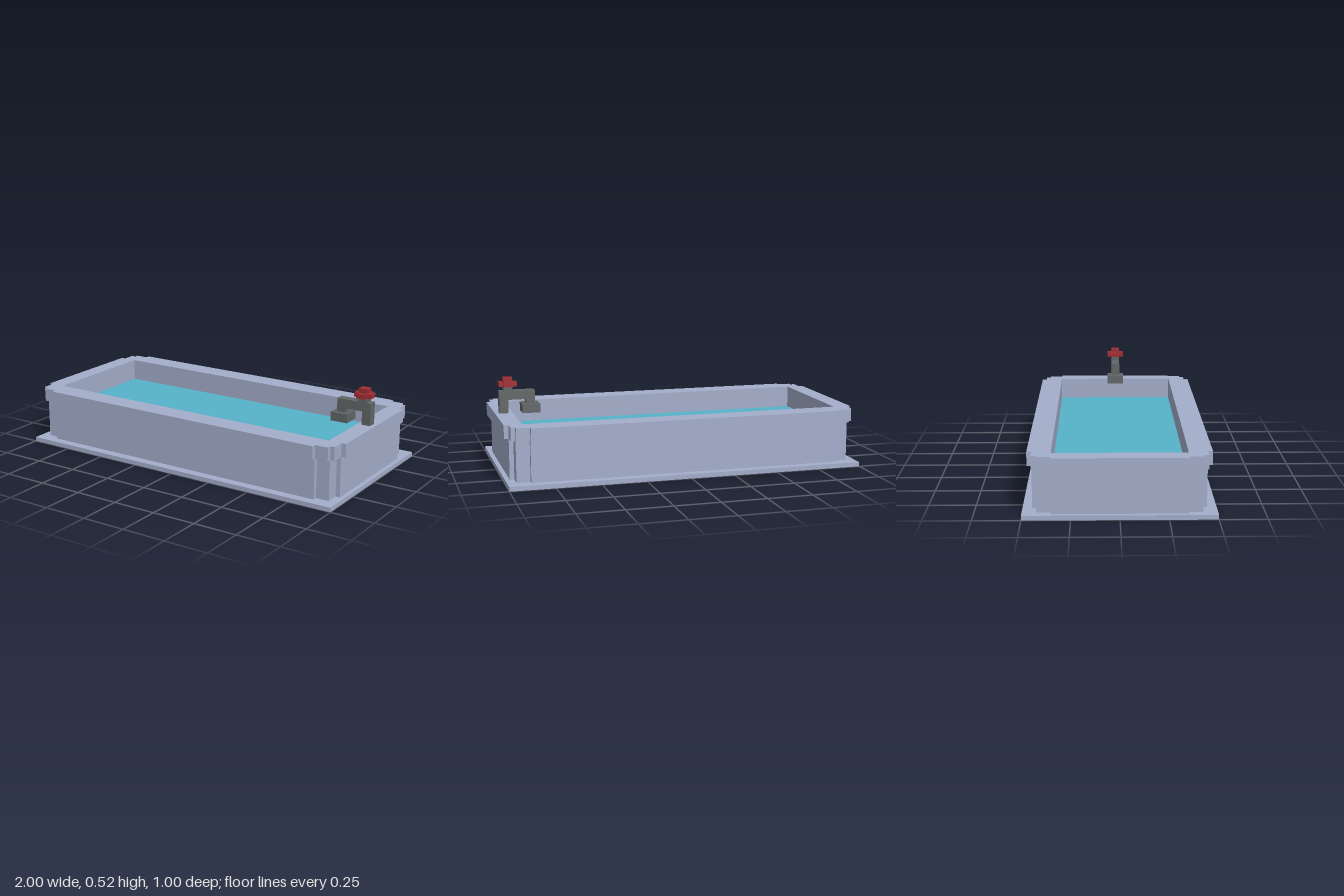
import * as THREE from 'three';

const stone = new THREE.MeshStandardMaterial({ name: 'paleBlueStone', color: 0xa4aecb });
const waterBlue = new THREE.MeshStandardMaterial({ name: 'waterBlue', color: 0x56b3c9 });
const metal = new THREE.MeshStandardMaterial({ name: 'darkMetal', color: 0x626666 });
const red = new THREE.MeshStandardMaterial({ name: 'handleRed', color: 0xa02c33 });

// Box given by its minimum and maximum corners
function box(name, material, [x0, y0, z0], [x1, y1, z1]) {
  const mesh = new THREE.Mesh(new THREE.BoxGeometry(x1 - x0, y1 - y0, z1 - z0), material);
  mesh.position.set((x0 + x1) / 2, (y0 + y1) / 2, (z0 + z1) / 2);
  mesh.name = name;
  return mesh;
}

// Symmetric outline from the points of one corner, mirrored into all four
function mirroredOutline(corner) {
  const back = [...corner].reverse();
  return [
    ...corner,
    ...back.map(([x, z]) => [-x, z]),
    ...corner.map(([x, z]) => [-x, -z]),
    ...back.map(([x, z]) => [x, -z]),
  ].map(([x, z]) => new THREE.Vector2(x, z));
}

// Upright ring with a stepped outer outline and a rectangular opening
function ring(name, corner, y0, y1) {
  const shape = new THREE.Shape(mirroredOutline(corner));
  shape.holes.push(new THREE.Path(mirroredOutline([[0.9, 0.35]])));
  const geometry = new THREE.ExtrudeGeometry(shape, { depth: y1 - y0, bevelEnabled: false });
  geometry.rotateX(-Math.PI / 2).translate(0, y0, 0);
  const mesh = new THREE.Mesh(geometry, stone);
  mesh.name = name;
  return mesh;
}

export function createModel() {
  const model = new THREE.Group();
  model.name = 'basin';

  // Base slab, recessed-corner walls and overhanging rim
  model.add(box('base', stone, [-1, 0, -0.5], [1, 0.025, 0.5]));
  model.add(ring('walls', [
    [0.975, 0.35], [0.95, 0.35], [0.95, 0.425], [0.875, 0.425], [0.875, 0.45],
  ], 0.025, 0.25));
  model.add(ring('rim', [
    [1, 0.35], [0.975, 0.35], [0.975, 0.425], [0.95, 0.425],
    [0.95, 0.45], [0.875, 0.45], [0.875, 0.475],
  ], 0.25, 0.325));

  // Water surface
  model.add(box('water', waterBlue, [-0.9, 0.192, -0.35], [0.9, 0.2, 0.35]));

  // Tap body
  const tap = new THREE.Group();
  tap.name = 'tap';
  tap.add(
    box('tapPost', metal, [0.925, 0.325, -0.025], [0.975, 0.4, 0.025]),
    box('tapArm', metal, [0.775, 0.4, -0.025], [0.975, 0.45, 0.025]),
    box('spoutNeck', metal, [0.775, 0.375, -0.025], [0.825, 0.4, 0.025]),
    box('spoutHead', metal, [0.75, 0.325, -0.05], [0.85, 0.375, 0.05]),
    box('handleStem', metal, [0.9, 0.45, -0.025], [0.95, 0.475, 0.025]),
  );

  // Cross-shaped handle with a raised centre
  const handle = new THREE.Group();
  handle.name = 'tapHandle';
  handle.add(
    box('handleCentre', red, [0.9, 0.475, -0.025], [0.95, 0.525, 0.025]),
    box('handleRightArm', red, [0.875, 0.475, -0.025], [0.9, 0.5, 0.025]),
    box('handleLeftArm', red, [0.95, 0.475, -0.025], [0.975, 0.5, 0.025]),
    box('handleFrontArm', red, [0.9, 0.475, 0.025], [0.95, 0.5, 0.05]),
    box('handleBackArm', red, [0.9, 0.475, -0.05], [0.95, 0.5, -0.025]),
  );
  tap.add(handle);
  model.add(tap);

  return model;
}
